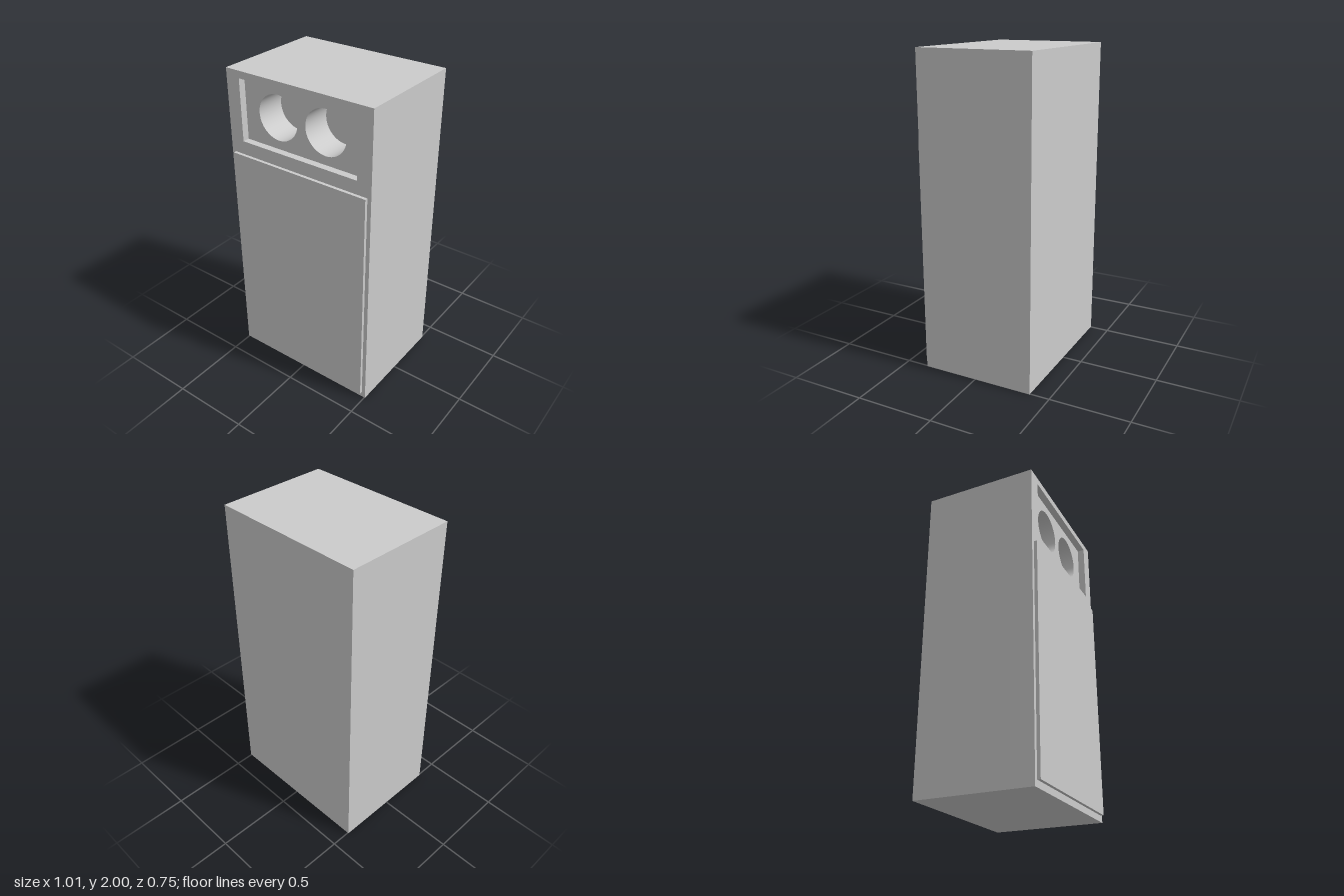
import * as THREE from 'three';

const W = 1.01, H = 2, BACK = -0.375, FRONT = 0.355;            // cabinet
const RECESS = { w: 0.82, h: 0.39, y: 1.76, depth: 0.045 };     // upper recess
const BORE = { r: 0.14, x: 0.168, depth: 0.19 };                // round holes
const FLOOR = FRONT - RECESS.depth;

const material = new THREE.MeshStandardMaterial({ color: 0xcccccc });
const openMaterial = new THREE.MeshStandardMaterial({ color: 0xcccccc, side: THREE.DoubleSide });

// Box keeping only the listed sides (0 +x, 1 -x, 2 +y, 3 -y, 4 +z, 5 -z)
function partialBox(w, h, d, sides) {
  const geometry = new THREE.BoxGeometry(w, h, d);
  const index = Array.from(geometry.index.array);
  geometry.setIndex(sides.flatMap((s) => index.slice(s * 6, s * 6 + 6)));
  geometry.clearGroups();
  return geometry;
}

// Rectangular outline centred on x = 0
function rectangle(Type, w, h, y) {
  const a = w / 2, b = h / 2;
  return new Type([[-a, y - b], [a, y - b], [a, y + b], [-a, y + b]]
    .map(([px, py]) => new THREE.Vector2(px, py)));
}

export function createModel() {
  const model = new THREE.Group();
  model.name = 'cabinet';
  const add = (name, geometry, x, y, z, mat = material) => {
    const mesh = new THREE.Mesh(geometry, mat);
    mesh.name = name;
    mesh.position.set(x, y, z);
    model.add(mesh);
    return mesh;
  };

  // Cabinet shell, closed at the front by a face with the recess cut out
  add('cabinetShell', partialBox(W, H, FRONT - BACK, [0, 1, 2, 3, 5]), 0, H / 2, (FRONT + BACK) / 2);
  const front = rectangle(THREE.Shape, W, H, H / 2);
  front.holes.push(rectangle(THREE.Path, RECESS.w, RECESS.h, RECESS.y));
  add('cabinetFront', new THREE.ShapeGeometry(front), 0, 0, FRONT);

  // Recess walls and its floor with two round openings
  add('recessWalls', partialBox(RECESS.w, RECESS.h, RECESS.depth, [0, 1, 2, 3]),
    0, RECESS.y, FRONT - RECESS.depth / 2, openMaterial);
  const floor = rectangle(THREE.Shape, RECESS.w, RECESS.h, RECESS.y);
  for (const side of [-1, 1]) {
    floor.holes.push(new THREE.Path().absarc(side * BORE.x, RECESS.y, BORE.r, 0, Math.PI * 2, true));
  }
  add('recessFloor', new THREE.ShapeGeometry(floor, 32), 0, 0, FLOOR);

  // Round bores with flat ends
  for (const side of [-1, 1]) {
    const label = side > 0 ? 'left' : 'right';
    const wall = new THREE.CylinderGeometry(BORE.r, BORE.r, BORE.depth, 64, 1, true).rotateX(Math.PI / 2);
    add(label + 'BoreWall', wall, side * BORE.x, RECESS.y, FLOOR - BORE.depth / 2, openMaterial);
    add(label + 'BoreEnd', new THREE.CircleGeometry(BORE.r, 64), side * BORE.x, RECESS.y, FLOOR - BORE.depth);
  }

  // Raised front panel
  add('frontPanel', new THREE.BoxGeometry(0.96, 1.44, 0.02), 0, 0.76, FRONT + 0.01);

  return model;
}
